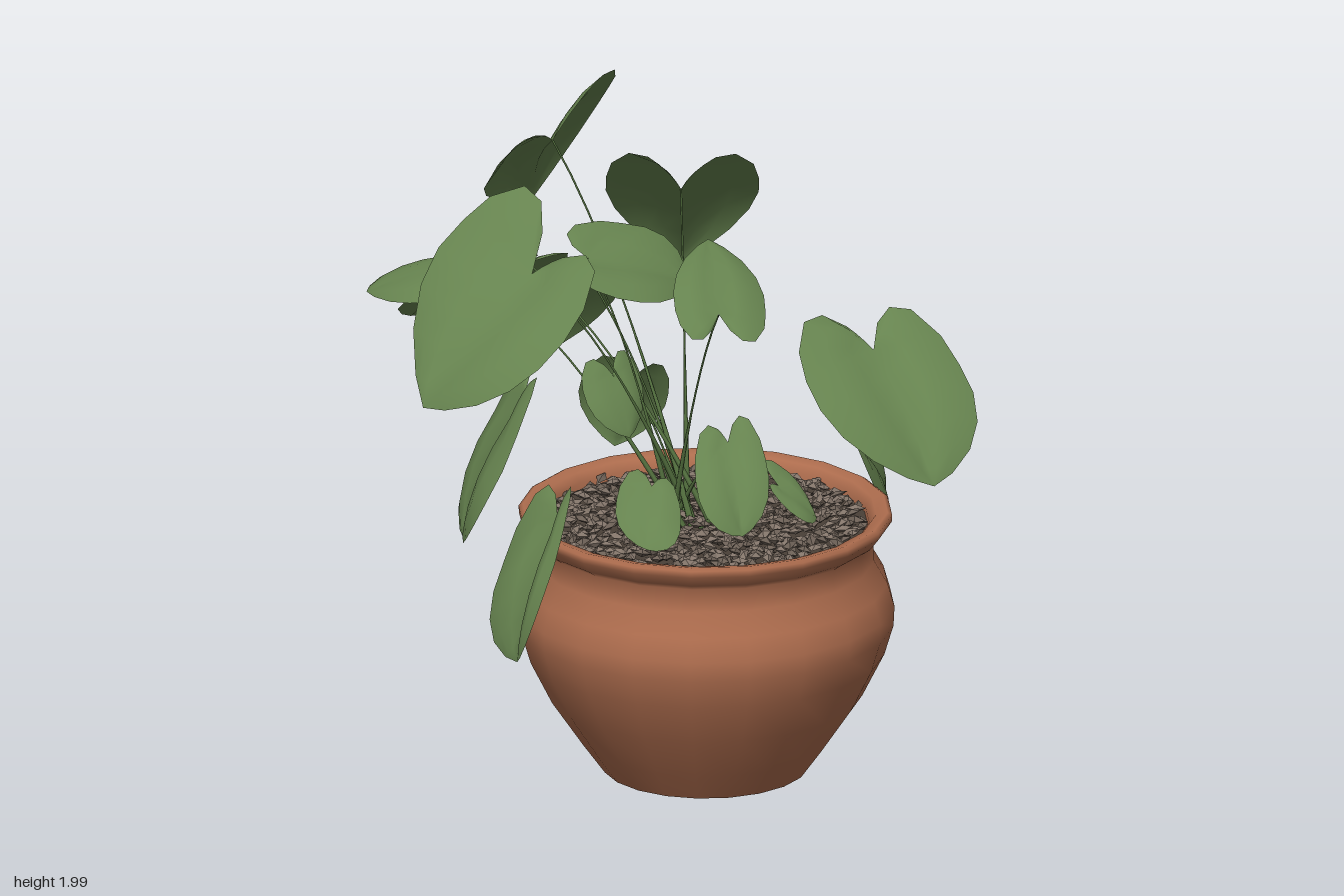
import * as THREE from 'three';
import { mergeGeometries, mergeVertices } from 'three/addons/utils/BufferGeometryUtils.js';

const V = (a) => new THREE.Vector3(...a);
const material = (name, color, double) => {
  const m = new THREE.MeshStandardMaterial({ color });
  m.name = name;
  if (double) m.side = THREE.DoubleSide;
  return m;
};

// Half outline of a heart-shaped leaf: [along the midrib, out to the side]
const OUTLINE = [[0, 0], [-0.22, 0.2], [-0.36, 0.44], [-0.37, 0.7], [-0.2, 0.93], [0, 1],
  [0.22, 1], [0.45, 0.88], [0.68, 0.63], [0.88, 0.29], [1, 0]];

// Leaf blade stretched between its notch, tip and two widest side points
function leafGeometry(notch, tip, sideA, sideB) {
  const axis = tip.clone().sub(notch);
  const a = sideA.clone().sub(notch), b = sideB.clone().sub(notch);
  const normal = axis.clone().cross(b.clone().sub(a)).normalize();
  if (normal.y < 0) normal.negate();
  const size = axis.length(), cols = 3, width = cols * 2 + 1;
  const pos = [], index = [];
  OUTLINE.forEach(([s, t], j) => {
    for (let k = -cols; k <= cols; k++) {
      const q = Math.abs(k) / cols;
      const mid = Math.max(0, s);
      const along = mid + (s - mid) * q;
      const bulge = size * (0.22 * mid * (1 - mid) * (1 - q * 0.5) + 0.06 * Math.sin(Math.PI * q) * t);
      const p = notch.clone().addScaledVector(axis, along)
        .addScaledVector(k < 0 ? a : b, q * t).addScaledVector(normal, bulge);
      pos.push(p.x, p.y, p.z);
      if (j > 0 && k < cols) {
        const i = j * width + k + cols, o = i - width;
        index.push(o, i, o + 1, o + 1, i, i + 1);
      }
    }
  });
  let g = new THREE.BufferGeometry();
  g.setAttribute('position', new THREE.Float32BufferAttribute(pos, 3));
  g.setIndex(index);
  g = mergeVertices(g, 1e-5);
  g.computeVertexNormals();
  return g;
}

// Tube that narrows from the root to the leaf
function stemGeometry(path) {
  const steps = 10, sides = 5;
  const g = new THREE.TubeGeometry(path, steps, 0.011, sides);
  const p = g.attributes.position, v = new THREE.Vector3();
  for (let i = 0; i < p.count; i++) {
    const u = Math.floor(i / (sides + 1)) / steps;
    v.fromBufferAttribute(p, i).lerp(path.getPointAt(u), Math.min(0.72, u * 1.4));
    p.setXYZ(i, v.x, v.y, v.z);
  }
  return g;
}

export function createModel() {
  const model = new THREE.Group();
  const clay = material('terracotta', 0xae6d4e);
  const leafGreen = material('leaf green', 0x66834f, true);
  const stemGreen = material('stem green', 0x557240);
  const earth = material('dark soil', 0x4a4037);
  const stoneMats = [material('brown gravel', 0x83756a), material('dark gravel', 0x6c6056)];
  const add = (parent, name, geometry, mat) => {
    const mesh = new THREE.Mesh(geometry, mat);
    mesh.name = name;
    parent.add(mesh);
    return mesh;
  };
  let seed = 7;
  const rand = () => (seed = (seed * 16807) % 2147483647) / 2147483647;

  // Pot with a flared rim, standing slightly off the middle
  const pot = new THREE.Group();
  pot.name = 'pot';
  pot.position.set(0.11, 0, 0.22);
  model.add(pot);
  const profile = [[0.305, 0], [0.37, 0.09], [0.465, 0.23], [0.53, 0.36], [0.557, 0.45], [0.56, 0.51],
    [0.54, 0.58], [0.5, 0.65], [0.497, 0.72], [0.525, 0.74], [0.552, 0.775], [0.553, 0.795],
    [0.54, 0.803], [0.505, 0.795], [0.485, 0.77], [0.48, 0.72]];
  add(pot, 'potBody', new THREE.LatheGeometry(profile.map(([x, y]) => new THREE.Vector2(x, y)), 20), clay);
  add(pot, 'potBase', new THREE.CircleGeometry(0.305, 20).rotateX(Math.PI / 2), clay);
  add(pot, 'soil', new THREE.CircleGeometry(0.485, 24).rotateX(-Math.PI / 2), earth).position.y = 0.752;

  // Gravel: flat angular stones spread in a sunflower pattern
  const stones = [[], []];
  const count = 620;
  for (let i = 0; i < count; i++) {
    const r = 0.465 * Math.sqrt((i + 0.5) / count), turn = i * 2.39996;
    const g = new THREE.OctahedronGeometry(1, 0);
    g.rotateY(rand());
    g.scale(0.023 + rand() * 0.012, 0.009 + rand() * 0.005, 0.014 + rand() * 0.007);
    g.rotateZ((rand() - 0.5) * 0.8);
    g.rotateX((rand() - 0.5) * 0.8);
    g.rotateY(rand() * 6.28);
    g.translate(r * Math.cos(turn), 0.758 + rand() * 0.02, r * Math.sin(turn));
    stones[rand() < 0.6 ? 0 : 1].push(g);
  }
  stones.forEach((list, i) => add(pot, 'gravel', mergeGeometries(list), stoneMats[i]));

  const plant = new THREE.Group();
  plant.name = 'plant';
  model.add(plant);
  const leaf = (name, notch, tip, sideA, sideB) =>
    add(plant, name, leafGeometry(V(notch), V(tip), V(sideA), V(sideB)), leafGreen);
  // A leaf with an arching stem rooted in the middle of the pot
  const stemmedLeaf = (name, notch, ...corners) => {
    leaf(name, notch, ...corners);
    const n = V(notch);
    const root = new THREE.Vector3(0.08 + (rand() - 0.5) * 0.12, 0.75, 0.2 + (rand() - 0.5) * 0.12);
    const bend = root.clone().lerp(n, 0.5);
    bend.y += (n.y - root.y) * 0.22;
    add(plant, name + 'Stem', stemGeometry(new THREE.QuadraticBezierCurve3(root, bend, n)), stemGreen);
  };

  // Tall leaves
  stemmedLeaf('topBackLeaf', [-0.2, 1.76, -0.42], [-0.17, 1.46, -0.78], [-0.4, 1.67, -0.38], [0, 1.93, -0.46]);
  stemmedLeaf('backLeaf', [0.12, 1.68, -0.13], [0.19, 1.34, -0.43], [-0.11, 1.74, -0.12], [0.34, 1.72, -0.06]);
  stemmedLeaf('backLowerLeaf', [-0.14, 1.4, -0.24], [-0.22, 1.01, -0.64], [-0.32, 1.28, -0.3], [-0.02, 1.25, -0.4]);
  stemmedLeaf('backSideLeaf', [-0.34, 1.48, -0.15], [-0.64, 1.26, -0.38], [-0.59, 1.45, -0.1], [-0.3, 1.33, -0.38]);
  stemmedLeaf('sideLeaf', [-0.55, 1.54, -0.02], [-0.83, 1.43, -0.15], [-0.62, 1.48, 0.1], [-0.6, 1.5, -0.19]);
  stemmedLeaf('largeSideLeaf', [-0.43, 1.6, 0.28], [-0.79, 1.25, 0.4], [-0.58, 1.7, 0.04], [-0.4, 1.48, 0.56]);
  stemmedLeaf('middleLeaf', [-0.22, 1.57, 0.1], [0.09, 1.46, 0.07], [-0.08, 1.62, -0.04], [-0.17, 1.5, 0.28]);
  stemmedLeaf('centreLeaf', [0.1, 1.48, 0.43], [0.14, 1.61, 0.13], [-0.03, 1.5, 0.42], [0.25, 1.46, 0.4]);
  leaf('frontLeaf', [0.57, 1.33, 0.43], [0.68, 1.0, 0.74], [0.33, 1.3, 0.58], [0.82, 1.28, 0.47]);

  // Low leaves drooping over the rim and around the roots
  leaf('frontDroopingLeaf', [-0.42, 0.93, 0.56], [-0.55, 0.5, 0.59], [-0.56, 0.78, 0.47], [-0.45, 0.82, 0.65]);
  leaf('sideDroopingLeaf', [-0.4, 1.14, 0.06], [-0.58, 0.7, 0.04], [-0.46, 1.0, -0.12], [-0.5, 0.96, 0.2]);
  leaf('rimLeaf', [0.61, 0.91, 0.06], [0.72, 0.68, -0.06], [0.64, 0.8, 0.15], [0.67, 0.89, -0.06]);
  stemmedLeaf('frontLowLeaf', [0.14, 1.06, 0.38], [0.14, 0.83, 0.57], [0.02, 0.98, 0.47], [0.24, 1.02, 0.44]);
  leaf('frontCornerLeaf', [-0.11, 0.97, 0.46], [-0.17, 0.84, 0.65], [-0.22, 0.94, 0.47], [-0.05, 0.9, 0.58]);
  stemmedLeaf('smallFrontLeaf', [0.28, 0.93, 0.43], [0.39, 0.83, 0.46], [0.3, 0.97, 0.37], [0.3, 0.87, 0.5]);
  stemmedLeaf('smallMiddleLeaf', [-0.15, 1.21, 0.13], [-0.12, 1.04, 0.22], [-0.25, 1.18, 0.17], [-0.06, 1.19, 0.08]);
  stemmedLeaf('smallBackLeaf', [-0.04, 1.1, -0.1], [-0.06, 0.86, -0.22], [-0.16, 1.08, -0.22], [0.08, 1.05, -0.12]);
  return model;
}
